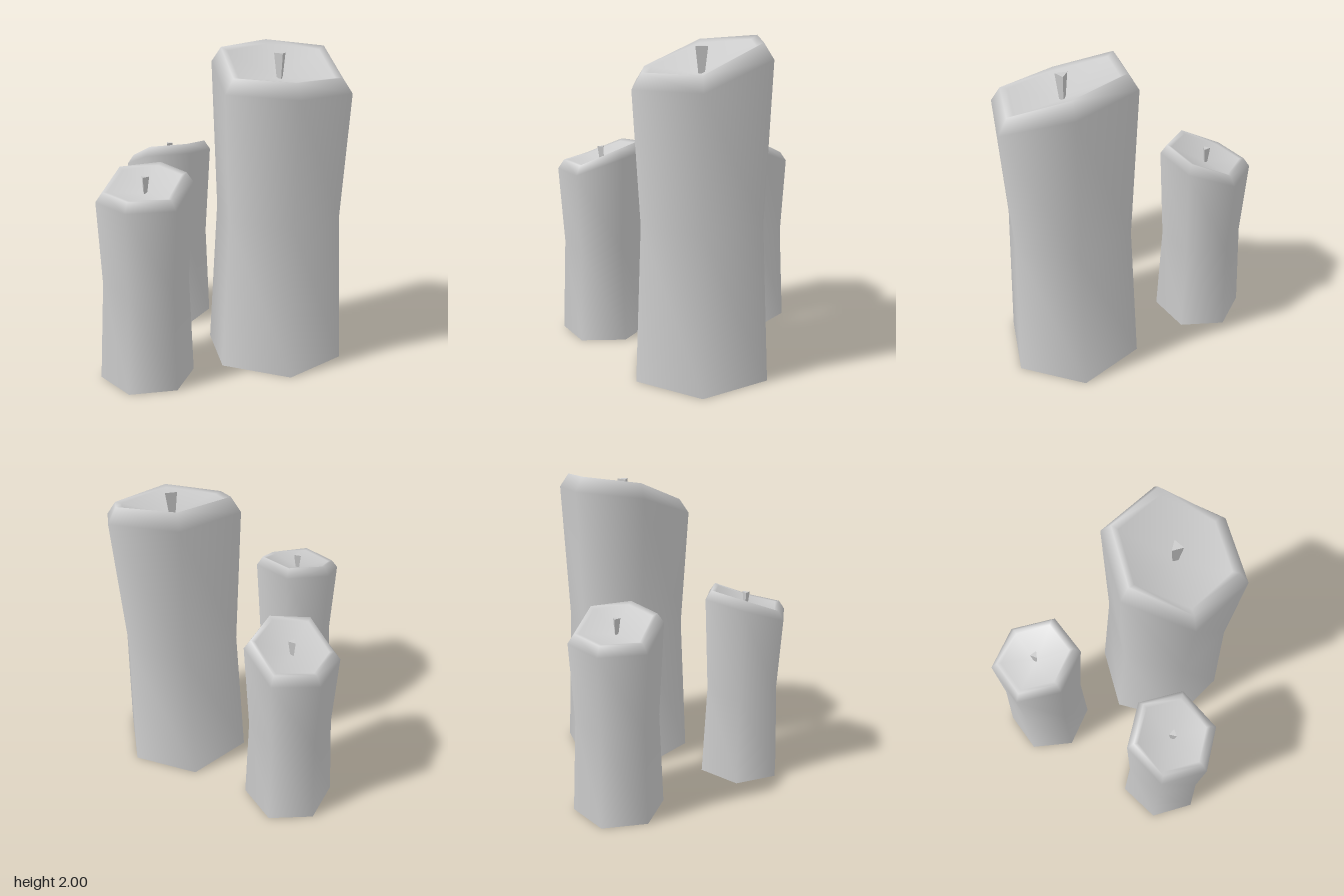
import * as THREE from 'three';

const SIDES = 6;
const RADIUS = 0.447;
const RIM = [1.97, 1.82, 1.81, 1.81, 1.97, 2.0]; // slanted rim height at each corner
const DISH = 1.79; // height of the wax at the wick
const START = THREE.MathUtils.degToRad(51.6); // angle of the first corner

// Corner heights start from the corner at START and run around from x to z
const rimAt = (j) => [RIM[3], RIM[2], RIM[1], RIM[0], RIM[5], RIM[4]][j];

// Cross-sections from the open base, over the rim, into the dished top
const RINGS = [
  { r: 1, y: () => 0 },
  { r: 0.9, y: () => 0.95 },
  { r: 1, y: (j) => rimAt(j) - 0.09 },
  { r: 0.86, y: (j) => rimAt(j) },
  { r: 0.76, y: (j) => THREE.MathUtils.lerp(rimAt(j), DISH, 0.12) },
];

function waxGeometry() {
  const positions = [];
  const index = [];
  for (const ring of RINGS) {
    for (let j = 0; j < SIDES; j++) {
      const a = START + (j * Math.PI * 2) / SIDES;
      const r = RADIUS * ring.r;
      positions.push(r * Math.cos(a), ring.y(j), r * Math.sin(a));
    }
  }
  const centre = positions.length / 3;
  positions.push(0, DISH, 0);
  for (let i = 0; i < RINGS.length; i++) {
    for (let j = 0; j < SIDES; j++) {
      const a = i * SIDES + j;
      const b = i * SIDES + ((j + 1) % SIDES);
      if (i === RINGS.length - 1) index.push(a, centre, b);
      else index.push(a, a + SIDES, b + SIDES, a, b + SIDES, b);
    }
  }
  const geometry = new THREE.BufferGeometry();
  geometry.setAttribute('position', new THREE.Float32BufferAttribute(positions, 3));
  geometry.setIndex(index);
  geometry.computeVertexNormals();
  return geometry;
}

export function createModel() {
  const model = new THREE.Group();
  model.name = 'candles';

  const waxMaterial = new THREE.MeshStandardMaterial({ color: 0xcccccc, side: THREE.DoubleSide });
  const wickMaterial = new THREE.MeshStandardMaterial({ color: 0xcccccc, flatShading: true });
  const wax = waxGeometry();
  const wickHeight = 0.165;
  const wickGeometry = new THREE.CylinderGeometry(0.042, 0.02, wickHeight, 3);

  // One candle: wax body and a flared three-sided wick
  const addCandle = (name, x, z, scale, turn) => {
    const candle = new THREE.Group();
    candle.name = name;
    const body = new THREE.Mesh(wax, waxMaterial);
    body.name = 'wax';
    const wick = new THREE.Mesh(wickGeometry, wickMaterial);
    wick.name = 'wick';
    wick.position.y = 1.945 - wickHeight / 2;
    wick.rotation.y = THREE.MathUtils.degToRad(-20);
    candle.add(body, wick);
    candle.position.set(x, 0, z);
    candle.scale.setScalar(scale);
    candle.rotation.y = THREE.MathUtils.degToRad(-turn);
    model.add(candle);
  };

  addCandle('tallCandle', 0.358, 0.38, 1, 0);
  addCandle('rightCandle', -0.535, 0.285, 0.65, 28.6);
  addCandle('backCandle', 0.065, -0.51, 0.65, 158.6);
  return model;
}
